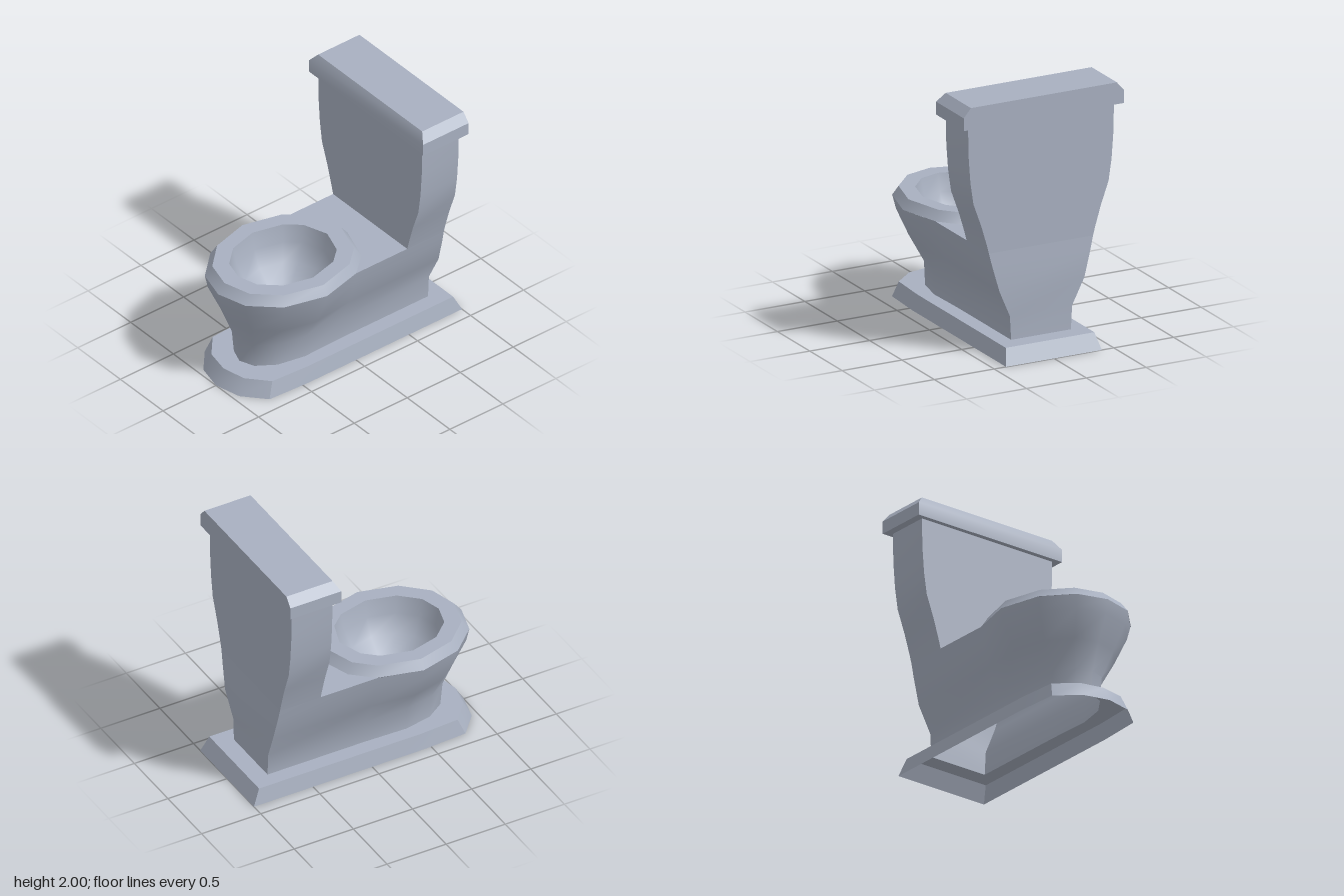
import * as THREE from 'three';
import { toCreasedNormals } from 'three/addons/utils/BufferGeometryUtils.js';

const porcelain = new THREE.MeshStandardMaterial({ color: 0xa8b0c0, side: THREE.DoubleSide });
porcelain.name = 'porcelain';

// Mirrors a +x half outline of [x, z] points, listed from back to front.
// Only end points that lie on the centre line are left unpaired.
const mirror = (half) => [
  ...half,
  ...half.filter(([x]) => x > 0).reverse().map(([x, z]) => [-x, z]),
];

// Lifts a flat outline to height y.
const lift = (outline, y) => outline.map(([x, z]) => [x, y, z]);
const ring = (half, y) => lift(mirror(half), y);

// Joins closed rings with the same number of points into a skin.
function loft(name, rings) {
  const pos = [];
  const tri = (a, b, c) => {
    const [A, B, C] = [a, b, c].map((p) => new THREE.Vector3(...p));
    if (B.sub(A).cross(C.sub(A)).length() > 1e-7) pos.push(...a, ...b, ...c);
  };
  for (let r = 0; r < rings.length - 1; r++) {
    const low = rings[r], high = rings[r + 1], n = low.length;
    for (let i = 0; i < n; i++) {
      const j = (i + 1) % n;
      tri(low[i], high[i], low[j]);
      tri(low[j], high[i], high[j]);
    }
  }
  const geo = new THREE.BufferGeometry();
  geo.setAttribute('position', new THREE.Float32BufferAttribute(pos, 3));
  const mesh = new THREE.Mesh(toCreasedNormals(geo, 0.7), porcelain);
  mesh.name = name;
  return mesh;
}

// Outline with a straight back and a faceted round front.
const bodyHalf = (wBack, w, zBack, zFront) => [
  [wBack, zBack], [wBack, 0.02], [w, 0.37],
  [0.83 * w, 0.37 + (zFront - 0.37) * 0.54],
  [0.46 * w, 0.37 + (zFront - 0.37) * 0.89],
  [0, zFront],
];

// Twelve-sided oval, used for the rim and the bowl.
const OVAL = mirror([[0, -1], [0.55, -0.84], [0.83, -0.57], [1, 0], [0.83, 0.55], [0.46, 0.89], [0, 1]]);
const oval = (w, zBack, zFront, y) =>
  lift(OVAL.map(([x, t]) => [x * w, 0.37 + t * (t < 0 ? 0.37 - zBack : zFront - 0.37)]), y);

// Four-cornered section; a zero half width closes it to a point.
const rect = (w, zBack, zFront, y) =>
  lift([[w, zBack], [w, zFront], [-w, zFront], [-w, zBack]], y);

export function createModel() {
  const model = new THREE.Group();
  model.name = 'toilet';

  // Foot: sloping skirt and flat ledge, open underneath
  const footBottom = [[0.4, -1], [0.4, 0.02], [0.4, 0.45], [0.38, 0.8], [0.21, 0.95], [0, 1]];
  const footTop = [[0.37, -0.94], [0.37, 0.02], [0.37, 0.43], [0.35, 0.75], [0.19, 0.89], [0, 0.93]];
  model.add(loft('foot', [
    ring(footBottom, 0), ring(footTop, 0.125),
    ring(bodyHalf(0.25, 0.26, -0.8, 0.78), 0.125),
  ]));

  // Pedestal: [y, back half width, front half width, back z, front z]
  const levels = [
    [0.125, 0.25, 0.26, -0.8, 0.78],
    [0.31, 0.26, 0.265, -0.8, 0.8],
    [0.52, 0.355, 0.395, -0.815, 0.87],
    [0.72, 0.41, 0.49, -0.805, 0.96],
    [0.825, 0.435, 0.52, -0.8, 0.98],
  ];
  model.add(loft('pedestal', levels.map(([y, ...d]) => ring(bodyHalf(...d), y))));

  // Deck between the bowl and the tank
  const deckShape = new THREE.Shape(
    mirror([[0.435, -0.8], [0.435, 0.02], [0.28, -0.07], [0, -0.14]])
      .map(([x, z]) => new THREE.Vector2(x, -z)));
  const deck = new THREE.Mesh(new THREE.ShapeGeometry(deckShape).rotateX(-Math.PI / 2), porcelain);
  deck.position.y = 0.825;
  deck.name = 'deck';
  model.add(deck);

  // Bevelled rim running into the hollow bowl
  const hollow = (s, y) => oval(0.355 * s, 0.37 - 0.42 * s, 0.37 + 0.42 * s, y);
  model.add(loft('rimAndBowl', [
    oval(0.52, -0.24, 0.98, 0.825),
    oval(0.475, -0.18, 0.92, 0.9),
    hollow(1, 0.9), hollow(0.93, 0.76), hollow(0.76, 0.62),
    hollow(0.45, 0.52), hollow(0, 0.48),
  ]));

  // Tank flaring upwards: [y, half width]
  const flare = [[0.825, 0.435], [0.9, 0.455], [1.05, 0.5], [1.23, 0.565], [1.4, 0.59], [1.6, 0.605], [1.84, 0.61]];
  model.add(loft('tank', flare.map(([y, w]) => rect(w, -0.8, -0.455, y))));

  // Lid, bevelled at the front and ends, flush at the back
  model.add(loft('tankLid', [
    rect(0, -0.63, -0.63, 1.83),
    rect(0.67, -0.845, -0.415, 1.83),
    rect(0.67, -0.845, -0.415, 1.93),
    rect(0.61, -0.845, -0.455, 2),
    rect(0, -0.65, -0.65, 2),
  ]));

  return model;
}
